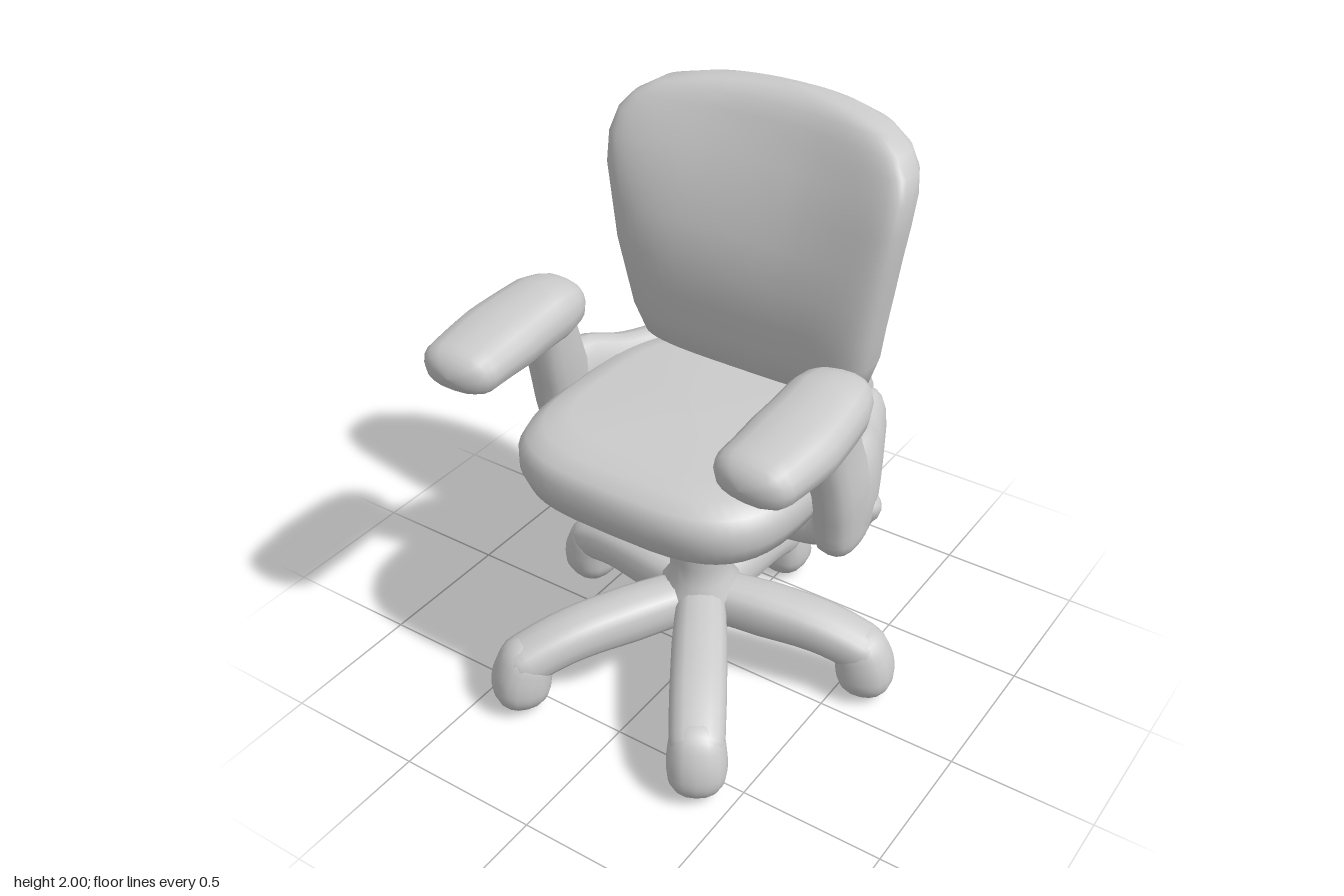
import * as THREE from 'three';

const material = new THREE.MeshStandardMaterial({ color: 0xcccccc, roughness: 0.8 });

// signed power, gives rounded-box cross-sections
const spow = (v, e) => Math.sign(v) * Math.pow(Math.abs(v), e);

function addMesh(parent, name, geometry) {
  const mesh = new THREE.Mesh(geometry, material);
  mesh.name = name;
  parent.add(mesh);
}

// Skin a list of closed rings of Vector3
function skin(rings) {
  const n = rings[0].length, pos = [], idx = [];
  rings.forEach(r => r.forEach(p => pos.push(p.x, p.y, p.z)));
  for (let i = 0; i < rings.length - 1; i++) {
    for (let j = 0; j < n; j++) {
      const k = (j + 1) % n, a = i * n, b = a + n;
      idx.push(a + j, a + k, b + j, a + k, b + k, b + j);
    }
  }
  const g = new THREE.BufferGeometry();
  g.setAttribute('position', new THREE.Float32BufferAttribute(pos, 3));
  g.setIndex(idx);
  g.computeVertexNormals();
  return g;
}

// Cushion from horizontal layers: [y, half width, front z, back z, bow]
function cushion(layers, power, sides = 48) {
  return skin(layers.map(([y, w, front, back, bow = 0]) => {
    const ring = [];
    for (let j = 0; j < sides; j++) {
      const a = (j / sides) * Math.PI * 2;
      const x = w * spow(Math.sin(a), power);
      const z = (front + back) / 2 + ((front - back) / 2) * spow(Math.cos(a), power);
      ring.push(new THREE.Vector3(x, y, z + bow * x * x));
    }
    return ring;
  }));
}

// Limb with rounded ends along points [x, y, z, half width, half height]
function limb(points, ref = [0, 1, 0], power = 0.8, steps = 22, sides = 16) {
  const curve = new THREE.CatmullRomCurve3(points.map(p => new THREE.Vector3(p[0], p[1], p[2])));
  const length = curve.getLength(), up = new THREE.Vector3(...ref), rings = [];
  for (let i = 0; i <= steps; i++) {
    const u = (1 - Math.cos((Math.PI * i) / steps)) / 2;
    const t = curve.getUtoTmapping(u) * (points.length - 1);
    const k = Math.min(Math.floor(t), points.length - 2);
    const rx = THREE.MathUtils.lerp(points[k][3], points[k + 1][3], t - k);
    const ry = THREE.MathUtils.lerp(points[k][4], points[k + 1][4], t - k);
    const cap = Math.min(rx, ry), d = Math.min(1, (Math.min(u, 1 - u) * length) / cap);
    const f = Math.sqrt(Math.max(0, 1 - (1 - d) ** 2));
    const c = curve.getPointAt(u), tan = curve.getTangentAt(u);
    const S = up.clone().cross(tan).normalize(), U = tan.clone().cross(S);
    const ring = [];
    for (let j = 0; j < sides; j++) {
      const a = (j / sides) * Math.PI * 2;
      ring.push(c.clone()
        .addScaledVector(S, rx * f * spow(Math.cos(a), power))
        .addScaledVector(U, ry * f * spow(Math.sin(a), power)));
    }
    rings.push(ring);
  }
  return skin(rings);
}

export function createModel() {
  const chair = new THREE.Group();
  chair.name = 'officeChair';

  // Backrest: leaning back, upper half wrapped forward at the sides
  addMesh(chair, 'backrest', cushion([
    [1.06, 0, -0.33, -0.33, 0],
    [1.065, 0.36, -0.25, -0.42, 0],
    [1.1, 0.42, -0.2, -0.47, 0.05],
    [1.2, 0.455, -0.18, -0.49, 0.1],
    [1.32, 0.475, -0.165, -0.485, 0.1],
    [1.45, 0.5, -0.165, -0.49, 0.15],
    [1.58, 0.52, -0.2, -0.515, 0.25],
    [1.7, 0.54, -0.25, -0.555, 0.38],
    [1.8, 0.545, -0.3, -0.6, 0.46],
    [1.87, 0.53, -0.345, -0.62, 0.5],
    [1.92, 0.49, -0.37, -0.615, 0.5],
    [1.96, 0.42, -0.4, -0.59, 0.5],
    [1.983, 0.3, -0.425, -0.56, 0.5],
    [1.996, 0.16, -0.455, -0.53, 0.5],
    [2.0, 0, -0.49, -0.49, 0],
  ], 0.65));

  // Seat cushion
  addMesh(chair, 'seat', cushion([
    [0.77, 0, 0.05, 0.05],
    [0.775, 0.32, 0.32, -0.32],
    [0.8, 0.41, 0.44, -0.38],
    [0.85, 0.475, 0.51, -0.42],
    [0.91, 0.5, 0.53, -0.44],
    [0.97, 0.5, 0.53, -0.44],
    [1.01, 0.48, 0.505, -0.43],
    [1.04, 0.44, 0.45, -0.41],
    [1.055, 0.37, 0.36, -0.35],
    [1.06, 0, 0.05, 0.05],
  ], 0.58));

  // Tilt mechanism under the seat
  addMesh(chair, 'seatMechanism', cushion([
    [0.61, 0, 0, 0],
    [0.62, 0.13, 0.1, -0.18],
    [0.65, 0.2, 0.15, -0.3],
    [0.71, 0.25, 0.24, -0.37],
    [0.77, 0.28, 0.31, -0.38],
    [0.82, 0.3, 0.34, -0.38],
    [0.83, 0, 0, 0],
  ], 0.7, 32));

  // Arms
  for (const s of [1, -1]) {
    const arm = new THREE.Group();
    arm.name = s > 0 ? 'leftArm' : 'rightArm';
    chair.add(arm);
    addMesh(arm, 'armPad', limb([
      [s * 0.515, 1.325, -0.01, 0.1, 0.065], [s * 0.535, 1.315, 0.13, 0.135, 0.095],
      [s * 0.545, 1.3, 0.35, 0.148, 0.09], [s * 0.53, 1.285, 0.61, 0.13, 0.072],
    ], [0, 1, 0], 0.8));
    addMesh(arm, 'armUpright', limb([
      [s * 0.54, 0.71, 0, 0.07, 0.1], [s * 0.545, 0.95, 0.03, 0.08, 0.115],
      [s * 0.535, 1.12, 0.08, 0.08, 0.1], [s * 0.53, 1.33, 0.13, 0.08, 0.08],
    ], [0, 0, 1]));
    // Side plate curving inward towards the backrest
    addMesh(arm, 'armPlate', limb([
      [s * 0.54, 0.91, 0.1, 0.075, 0.17], [s * 0.535, 0.91, -0.05, 0.085, 0.205],
      [s * 0.47, 0.89, -0.21, 0.085, 0.18], [s * 0.36, 0.91, -0.47, 0.075, 0.15],
    ], [0, 1, 0], 0.8));
    addMesh(arm, 'armBracket', limb([
      [s * 0.1, 0.675, -0.1, 0.13, 0.065], [s * 0.3, 0.69, -0.11, 0.13, 0.07],
      [s * 0.5, 0.765, -0.07, 0.12, 0.07], [s * 0.545, 0.9, -0.04, 0.1, 0.065],
    ]));
    // Side bar joining backrest and seat
    addMesh(arm, 'backSideBar', limb([
      [s * 0.22, 0.75, -0.12, 0.07, 0.06], [s * 0.3, 0.78, -0.35, 0.07, 0.06],
      [s * 0.33, 0.95, -0.45, 0.07, 0.055], [s * 0.31, 1.13, -0.38, 0.07, 0.055],
    ], [-1, 0, 0]));
  }

  // Central spine of the backrest
  addMesh(chair, 'backSpine', limb([
    [0, 0.7, -0.15, 0.13, 0.07], [0, 0.75, -0.41, 0.11, 0.075],
    [0, 0.93, -0.5, 0.1, 0.07], [0, 1.14, -0.43, 0.11, 0.07],
  ], [1, 0, 0]));

  // Column and hub
  const profile = [[0, 0.06], [0.05, 0.07], [0.08, 0.12], [0.085, 0.17], [0.13, 0.19],
    [0.15, 0.27], [0.14, 0.34], [0.11, 0.38], [0.108, 0.45], [0.108, 0.6], [0.13, 0.66], [0, 0.66]];
  addMesh(chair, 'column', new THREE.LatheGeometry(profile.map(p => new THREE.Vector2(...p)), 20));

  // Five-legged base with casters
  for (const [x, z] of [[0, -0.57], [0.585, -0.14], [-0.585, -0.14], [0.36, 0.565], [-0.36, 0.565]]) {
    const leg = new THREE.Group();
    leg.name = 'baseLeg';
    chair.add(leg);
    addMesh(leg, 'legBeam', limb([
      [0, 0.28, 0, 0.085, 0.085], [x * 0.4, 0.268, z * 0.4, 0.095, 0.09],
      [x * 0.75, 0.245, z * 0.75, 0.095, 0.08], [x * 1.1, 0.17, z * 1.1, 0.09, 0.075],
    ]));
    addMesh(leg, 'caster', limb([
      [x * 0.92, 0.27, z * 0.92, 0.085, 0.085], [x, 0.14, z, 0.1, 0.1],
      [x * 1.02, 0.005, z * 1.02, 0.1, 0.1],
    ], [-z, 0, x], 0.85));
  }
  return chair;
}
